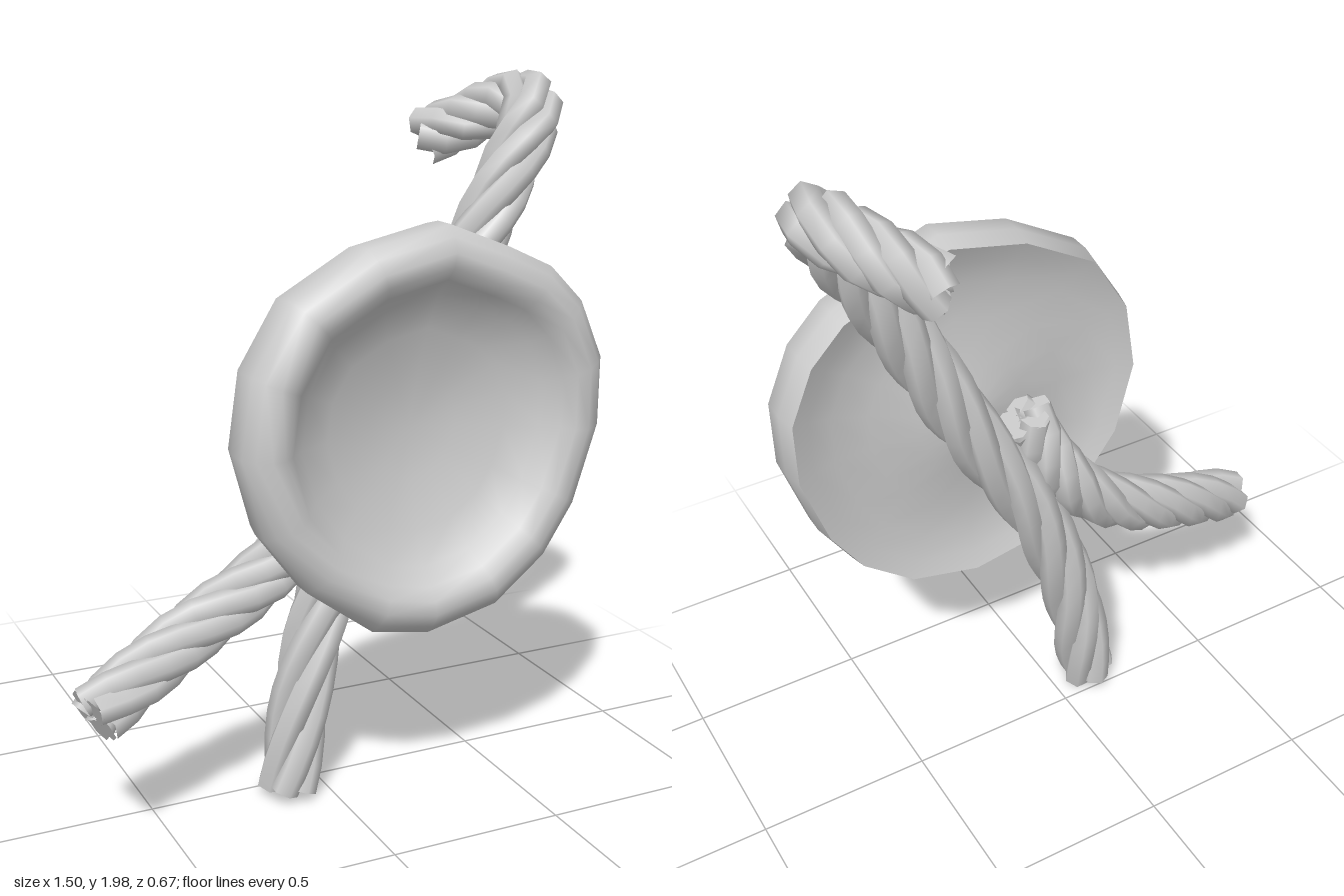
import * as THREE from 'three';
import { toCreasedNormals } from 'three/addons/utils/BufferGeometryUtils.js';

const material = new THREE.MeshStandardMaterial({ color: 0xcccccc });

// Rope of five coarse strands twisted around a path; extraTurns tighten its far end
function createRope(name, coords, turns, extraTurns) {
  const rope = new THREE.Group();
  rope.name = name;
  const path = new THREE.CatmullRomCurve3(coords.map((p) => new THREE.Vector3(...p)));
  const steps = Math.round(path.getLength() * 14);
  const frames = path.computeFrenetFrames(steps);
  const strands = 5, sides = 6, radius = 0.041, offset = 0.047;
  for (let s = 0; s < strands; s++) {
    // Helix around the centre line
    const points = [];
    for (let i = 0; i <= steps; i++) {
      const t = i / steps;
      const a = Math.PI * 2 * (s / strands + turns * t + extraTurns * t ** 6);
      points.push(path.getPointAt(t)
        .addScaledVector(frames.normals[i], Math.cos(a) * offset)
        .addScaledVector(frames.binormals[i], Math.sin(a) * offset));
    }
    const curve = new THREE.CatmullRomCurve3(points);
    const strand = new THREE.Mesh(new THREE.TubeGeometry(curve, steps, radius, sides), material);
    strand.name = 'strand';
    rope.add(strand);
    // Cut ends
    for (const t of [0, 1]) {
      const cap = new THREE.Mesh(new THREE.CircleGeometry(radius, sides), material);
      cap.name = 'strandEnd';
      cap.position.copy(curve.getPointAt(t));
      const out = path.getTangentAt(t).multiplyScalar(t ? 1 : -1);
      cap.quaternion.setFromUnitVectors(new THREE.Vector3(0, 0, 1), out);
      rope.add(cap);
    }
  }
  return rope;
}

// Dish: a slightly irregular outline, repeated at several scales and depths
function createDish() {
  const centre = [0.2, 1.06];
  const outline = [
    [0.73, 1.04], [0.73, 1.23], [0.66, 1.39], [0.56, 1.49], [0.43, 1.55], [0.25, 1.62],
    [0.02, 1.57], [-0.19, 1.45], [-0.3, 1.27], [-0.33, 1.06], [-0.27, 0.84], [-0.15, 0.68],
    [0.04, 0.54], [0.21, 0.51], [0.42, 0.56], [0.57, 0.68], [0.66, 0.82],
  ];
  // [scale, z] from the bulge at the back, over the hollow and the rim, into the bowl
  const rings = [
    [0, 0.136], [0.12, 0.148], [0.3, 0.17], [0.55, 0.19], [0.75, 0.188], [0.88, 0.17],
    [0.975, 0.15], [1, 0.21], [1, 0.275], [0.95, 0.305], [0.88, 0.328],
    [0.81, 0.322], [0.75, 0.295], [0.67, 0.253], [0.5, 0.213], [0.25, 0.18], [0, 0.165],
  ];
  const n = outline.length;
  const last = rings.length - 1;
  const positions = [];
  const index = [];
  rings.forEach(([scale, z], i) => {
    outline.forEach(([x, y], j) => {
      positions.push(centre[0] + (x - centre[0]) * scale, centre[1] + (y - centre[1]) * scale, z);
      const a = i * n + j, b = i * n + (j + 1) % n, c = b + n, d = a + n;
      if (i > 0 && i < last) index.push(a, b, c);
      if (i < last - 1) index.push(a, c, d);
    });
  });
  const geometry = new THREE.BufferGeometry();
  geometry.setAttribute('position', new THREE.Float32BufferAttribute(positions, 3));
  geometry.setIndex(index);
  const dish = new THREE.Mesh(toCreasedNormals(geometry, 1.1), material);
  dish.name = 'dish';
  return dish;
}

export function createModel() {
  const model = new THREE.Group();
  model.name = 'dishOnRopes';
  model.add(createDish());

  // Long rope rising behind the dish and hooking backwards at the top
  model.add(createRope('longRope', [
    [-0.12, 0.02, 0.07], [-0.04, 0.42, 0.05], [0.08, 0.76, 0.04], [0.28, 1.14, 0.04],
    [0.45, 1.5, 0.04], [0.58, 1.74, 0.03], [0.66, 1.885, 0], [0.655, 1.9, -0.08],
    [0.58, 1.85, -0.18], [0.47, 1.785, -0.275],
  ], 2.1, 0.7));

  // Short rope curving up from the lower side to meet the long one
  model.add(createRope('shortRope', [
    [-0.71, 0.4, 0.18], [-0.42, 0.545, 0.1], [-0.16, 0.69, 0.07], [-0.01, 0.86, 0.055],
    [0.085, 1.07, 0.08],
  ], 1.45, 0.2));

  return model;
}
